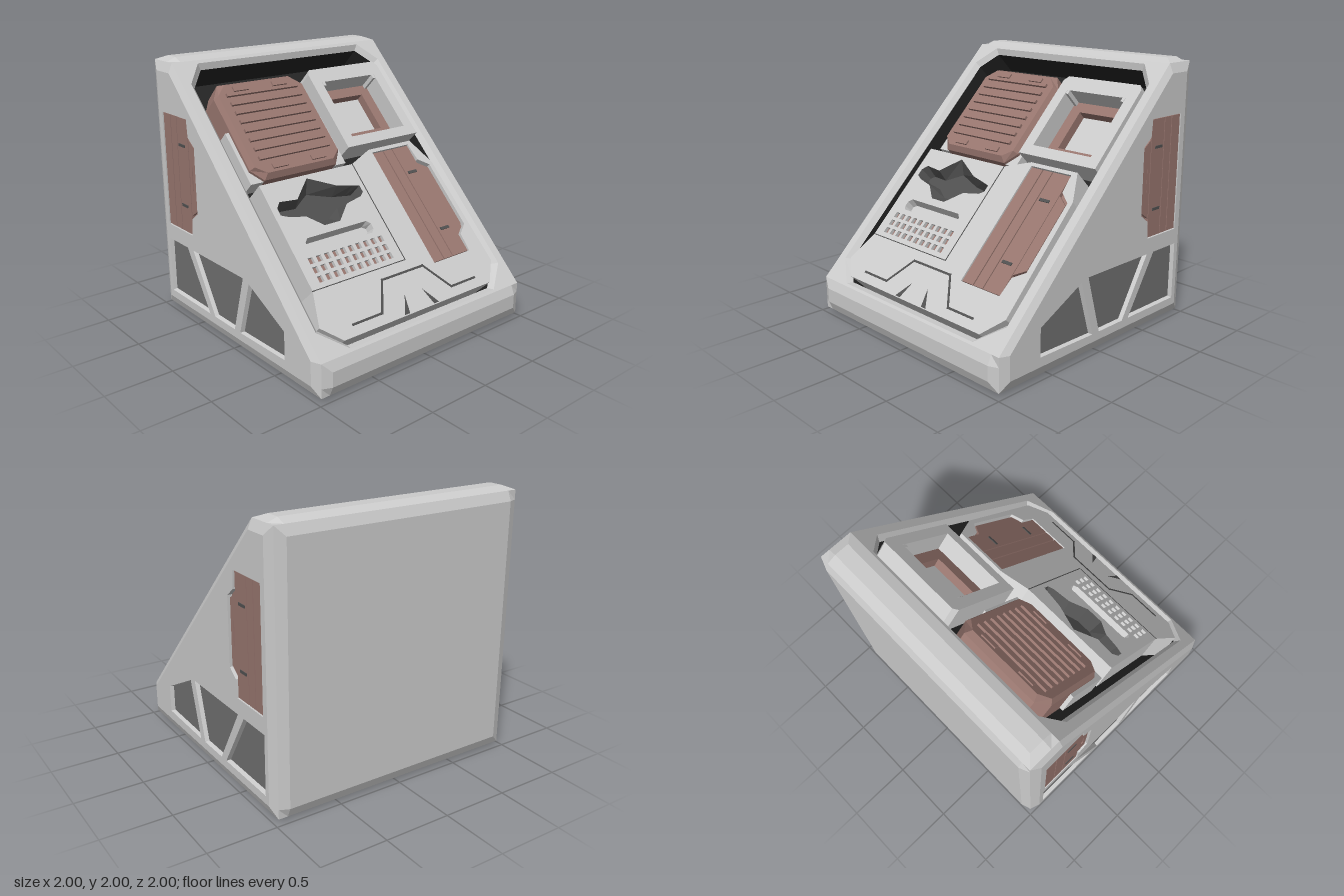
import * as THREE from 'three';

const mat = (color) => new THREE.MeshStandardMaterial({ color, flatShading: true, side: THREE.DoubleSide });
const GREY = mat(0xcccccc), BROWN = mat(0x98766f), GLASS = mat(0x707070), DARK = mat(0x505050), BLACK = mat(0x242424);
const R2 = Math.SQRT2;
const V2 = (x, y) => new THREE.Vector2(x, y);

function add(parent, name, geometry, material, x = 0, y = 0, z = 0) {
  const m = new THREE.Mesh(geometry, material);
  m.name = name;
  m.position.set(x, y, z);
  parent.add(m);
  return m;
}
const box = (w, h, d) => new THREE.BoxGeometry(w, h, d);
const ccw = (pts) => (THREE.ShapeUtils.isClockWise(pts) ? pts.slice().reverse() : pts);
const lift = (pts, z) => ccw(pts).map((p) => new THREE.Vector3(p.x, p.y, z));

// Quads between successive closed loops of equal length
function loft(loops, skip = () => false) {
  const pos = [];
  for (let k = 0; k + 1 < loops.length; k++) {
    const a = loops[k], b = loops[k + 1], n = a.length;
    for (let i = 0; i < n; i++) {
      if (skip(k, i)) continue;
      const j = (i + 1) % n;
      for (const p of [a[i], a[j], b[j], a[i], b[j], b[i]]) pos.push(p.x, p.y, p.z);
    }
  }
  const g = new THREE.BufferGeometry();
  g.setAttribute('position', new THREE.Float32BufferAttribute(pos, 3));
  g.computeVertexNormals();
  return g;
}

function face(pts, holes = []) {
  const s = new THREE.Shape(ccw(pts));
  for (const h of holes) s.holes.push(new THREE.Path(ccw(h).slice().reverse()));
  return new THREE.ShapeGeometry(s);
}

// Flat plate with a skirt below its rim
function plate(parent, name, pts, holes, top, depth) {
  add(parent, name, face(pts, holes), GREY, 0, 0, top);
  add(parent, name + 'Edge', loft([lift(pts, top - depth), lift(pts, top)]), GREY);
}

// Recess: walls going down from a rim, closed by a floor that may be smaller
function pocket(parent, name, rim, top, depth, wall, floor, base = rim, holes = []) {
  add(parent, name + 'Walls', loft([lift(rim, top), lift(base, top - depth)]), wall);
  add(parent, name + 'Floor', face(base, holes), floor, 0, 0, top - depth);
}

function shrink(pts, sx, sy = sx) {
  const c = pts.reduce((s, p) => s.add(p), V2(0, 0)).divideScalar(pts.length);
  return pts.map((p) => V2(c.x + (p.x - c.x) * sx, c.y + (p.y - c.y) * sy));
}

// Vent: stepped strips with a bulging grip along one edge
const ventRim = [[0, -0.44], [0.34, -0.44], [0.35, -0.31], [0.43, -0.25], [0.43, 0.25], [0.35, 0.31], [0.34, 0.44], [0, 0.44]]
  .map((p) => V2(...p));
const ventAt = (x, y, s) => ventRim.map((p) => V2(x + p.x * s, y + p.y * s));
function vent(parent, x, y, z, s) {
  const g = new THREE.Group();
  g.name = 'vent';
  g.position.set(x, y, z);
  g.scale.setScalar(s);
  pocket(g, 'ventRecess', ventRim, 0, 0.035, GREY, BROWN);
  [[0.003, 0.098], [0.106, 0.183], [0.19, 0.335]].forEach(([a, b]) =>
    add(g, 'ventStrip', box(b - a, 0.87, 0.025), BROWN, (a + b) / 2, 0, -0.02));
  const grip = [[0.335, -0.29], [0.415, -0.235], [0.415, 0.235], [0.335, 0.29]].map((p) => V2(...p));
  const slot = [[0.365, -0.09], [0.385, -0.09], [0.385, 0.09], [0.365, 0.09]].map((p) => V2(...p));
  add(g, 'ventGrip', face(grip, [slot]), BROWN, 0, 0, -0.012);
  add(g, 'ventGripEdge', loft([lift(grip, -0.035), lift(grip, -0.012)]), BROWN);
  for (const b of [-0.23, 0.23]) add(g, 'ventSlot', box(0.08, 0.02, 0.008), DARK, 0.25, b, -0.006);
  parent.add(g);
}

// Wedge outline, with its corners flattened by e towards the side faces
const outline = [[-0.9, 0], [0.9, 0], [0.97, 0.03], [1, 0.1], [1, 0.21], [0.97, 0.28],
  [-0.72, 1.97], [-0.79, 2], [-0.9, 2], [-0.97, 1.97], [-1, 1.9], [-1, 0.1], [-0.97, 0.03]];
const SLOPE = 5;
const section = (e) => outline.map(([x, y]) =>
  V2(THREE.MathUtils.clamp(x, e - 1, 1 - e), THREE.MathUtils.clamp(y, e, 2 - e)));

function buildShell(root) {
  const steps = [[-1, 0.1], [-0.97, 0.03], [-0.9, 0], [0.9, 0], [0.97, 0.03], [1, 0.1]];
  const loops = steps.map(([z, e]) => section(e).map((p) => new THREE.Vector3(p.x, p.y, z)));
  add(root, 'shell', loft(loops, (k, i) => i === SLOPE && k > 0 && k < 4), GREY);

  // Side walls with three windows and a vent each
  const windows = [
    [[-0.86, 0.6], [-0.59, 0.6], [-0.31, 0.16], [-0.86, 0.16]],
    [[-0.51, 0.6], [0.15, 0.6], [0.02, 0.16], [-0.24, 0.16]],
    [[0.22, 0.58], [0.62, 0.38], [0.62, 0.17], [0.09, 0.16]],
  ].map((w) => w.map((p) => V2(...p)));
  // drop repeated corners
  const rim = section(0.1).filter((p, i, all) => p.distanceTo(all[(i + 1) % all.length]) > 1e-4);
  for (const sign of [1, -1]) {
    const side = new THREE.Group();
    side.name = sign > 0 ? 'frontSide' : 'backSide';
    side.scale.z = sign;
    add(side, 'sideWall', face(rim, [...windows, ventAt(-0.85, 1.16, 1)]), GREY, 0, 0, 1);
    windows.forEach((w) => pocket(side, 'window', w, 1, 0.03, GREY, GLASS, shrink(w, 0.96)));
    vent(side, -0.85, 1.16, 1, 1);
    root.add(side);
  }
}

// Slope coordinates: x runs along -z of the model, y up the slope, z out of it
const S = (z, y) => V2(-z, (y - 1) * R2);
const poly = (...pts) => pts.map((p) => S(...p));
const rect = (z0, z1, y0, y1) => poly([z0, y0], [z1, y0], [z1, y1], [z0, y1]);

function buildSlope(root) {
  const g = new THREE.Group();
  g.name = 'slopePanel';
  g.position.set(0.25, 1, 0);
  const h = Math.SQRT1_2;
  g.quaternion.setFromRotationMatrix(new THREE.Matrix4().makeBasis(
    new THREE.Vector3(0, 0, -1), new THREE.Vector3(-h, h, 0), new THREE.Vector3(h, h, 0)));
  root.add(g);

  // Frame, lip and dark well
  const oct = (z, c, lo, hi, cl, ch) => poly([z - c, lo], [z, cl], [z, ch], [z - c * 0.7, hi],
    [-z + c * 0.7, hi], [-z, ch], [-z, cl], [-z + c, lo]);
  const open = oct(0.9, 0.19, 0.295, 1.95, 0.42, 1.83), inner = oct(0.865, 0.17, 0.32, 1.925, 0.435, 1.82);
  add(g, 'frame', face(rect(0.97, -0.97, 0.28, 1.97), [open]), GREY);
  add(g, 'frameLip', loft([lift(open, 0), lift(inner, -0.04)]), GREY);
  pocket(g, 'well', inner, -0.04, 0.21, BLACK, BLACK);

  // Main panel with control recess, slot, button grid and vent
  const TOP = -0.008;
  const knob = poly([0.72, 1.06], [0.72, 1.02], [0.66, 1.0], [0.53, 0.98], [0.42, 0.91], [0.28, 0.91], [0.15, 0.99],
    [0.0, 1.01], [-0.04, 1.03], [-0.04, 1.07], [0.02, 1.08], [0.15, 1.1], [0.37, 1.18], [0.53, 1.08], [0.68, 1.09]);
  const slot = poly([0.64, 0.82], [0.62, 0.8], [0.07, 0.8], [0.04, 0.82], [0.04, 0.85], [0.07, 0.87], [0.61, 0.87], [0.64, 0.85]);
  const buttons = [];
  for (const y of [0.655, 0.705, 0.755])
    for (let i = 0; i < 10; i++) {
      const z = 0.665 - i * 0.071;
      buttons.push(rect(z + 0.021, z - 0.021, y - 0.016, y + 0.016));
    }
  const main = poly([0.77, 1.2], [-0.08, 1.2], [-0.3, 1.26], [-0.74, 1.26], [-0.84, 1.1], [-0.855, 0.45],
    [-0.72, 0.34], [0.72, 0.34], [0.855, 0.435], [0.77, 0.61]);
  plate(g, 'mainPanel', main, [knob, slot, ...buttons, ventAt(0.32, -0.155, 1.12)], TOP, 0.2);
  pocket(g, 'gripRecess', knob, TOP, 0.1, DARK, DARK, shrink(knob, 0.9, 0.6));
  pocket(g, 'slot', slot, TOP, 0.07, GREY, GREY, shrink(slot, 0.97, 0.7));
  buttons.forEach((b) => pocket(g, 'button', b, TOP, 0.025, GREY, BROWN));
  vent(g, 0.32, -0.155, TOP, 1.12);

  // Thin seams around the square field and along the foot
  const line = (a, b, w) => {
    const m = add(g, 'seam', box(a.distanceTo(b) + w, w, 0.006), DARK, (a.x + b.x) / 2, (a.y + b.y) / 2, TOP);
    m.rotation.z = Math.atan2(b.y - a.y, b.x - a.x);
  };
  const field = poly([0.77, 0.61], [-0.08, 0.61], [-0.08, 1.2]);
  const crest = poly([0.6, 0.395], [0.34, 0.395], [0.2, 0.55], [-0.2, 0.55], [-0.35, 0.395], [-0.6, 0.395]);
  field.forEach((p, i) => i && line(field[i - 1], p, 0.006));
  crest.forEach((p, i) => i && line(crest[i - 1], p, 0.016));
  for (const s of [1, -1])
    add(g, 'footNotch', face(poly([s * 0.17, 0.345], [s * 0.12, 0.345], [s * 0.085, 0.44])), DARK, 0, 0, TOP + 0.003);

  // Ribbed block
  add(g, 'blockTray', box(0.87, 0.44, 0.14), GREY, -0.335, 0.56, -0.16);
  const block = (i) => poly([0.74 - i, 1.31], [0.66 - i, 1.24 + i], [0.01 + i, 1.24 + i], [-0.07 + i, 1.31],
    [-0.07 + i, 1.75], [0.01 + i, 1.83 - i], [0.66 - i, 1.83 - i], [0.74 - i, 1.75]);
  add(g, 'ribbedBlock', loft([lift(block(0), -0.25), lift(block(0), -0.07), lift(block(0.025), -0.03)]), BROWN);
  add(g, 'ribbedBlockTop', face(block(0.025)), BROWN, 0, 0, -0.03);
  for (let i = 0; i < 8; i++) {
    const p = S(0.335, 1.35 + i * 0.056);
    add(g, 'rib', box(0.64, 0.028, 0.024), BROWN, p.x, p.y, -0.022);
  }
  for (const y of [1.295, 1.775]) for (const z of [0.51, 0.16]) {
    const p = S(z, y);
    add(g, 'blockTab', box(0.13, 0.04, 0.016), BROWN, p.x, p.y, -0.026);
  }

  // Deep tray with an inner frame
  const tray = rect(-0.22, -0.77, 1.36, 1.73), gap = rect(-0.31, -0.68, 1.43, 1.67);
  const rim = poly([-0.13, 1.3], [-0.86, 1.3], [-0.86, 1.79], [-0.83, 1.82], [-0.16, 1.82], [-0.13, 1.79]);
  plate(g, 'trayPanel', rim, [tray], TOP, 0.2);
  pocket(g, 'tray', tray, TOP, 0.15, GREY, BROWN, tray, [gap]);
  pocket(g, 'trayGap', gap, TOP - 0.15, 0.07, BROWN, GREY);
  for (const z of [-0.235, -0.755]) {
    const p = S(z, 1.72);
    add(g, 'trayPost', box(0.025, 0.04, 0.15), GREY, p.x, p.y, TOP - 0.075);
  }
}

export function createModel() {
  const root = new THREE.Group();
  root.name = 'wedgeConsole';
  buildShell(root);
  buildSlope(root);
  return root;
}
